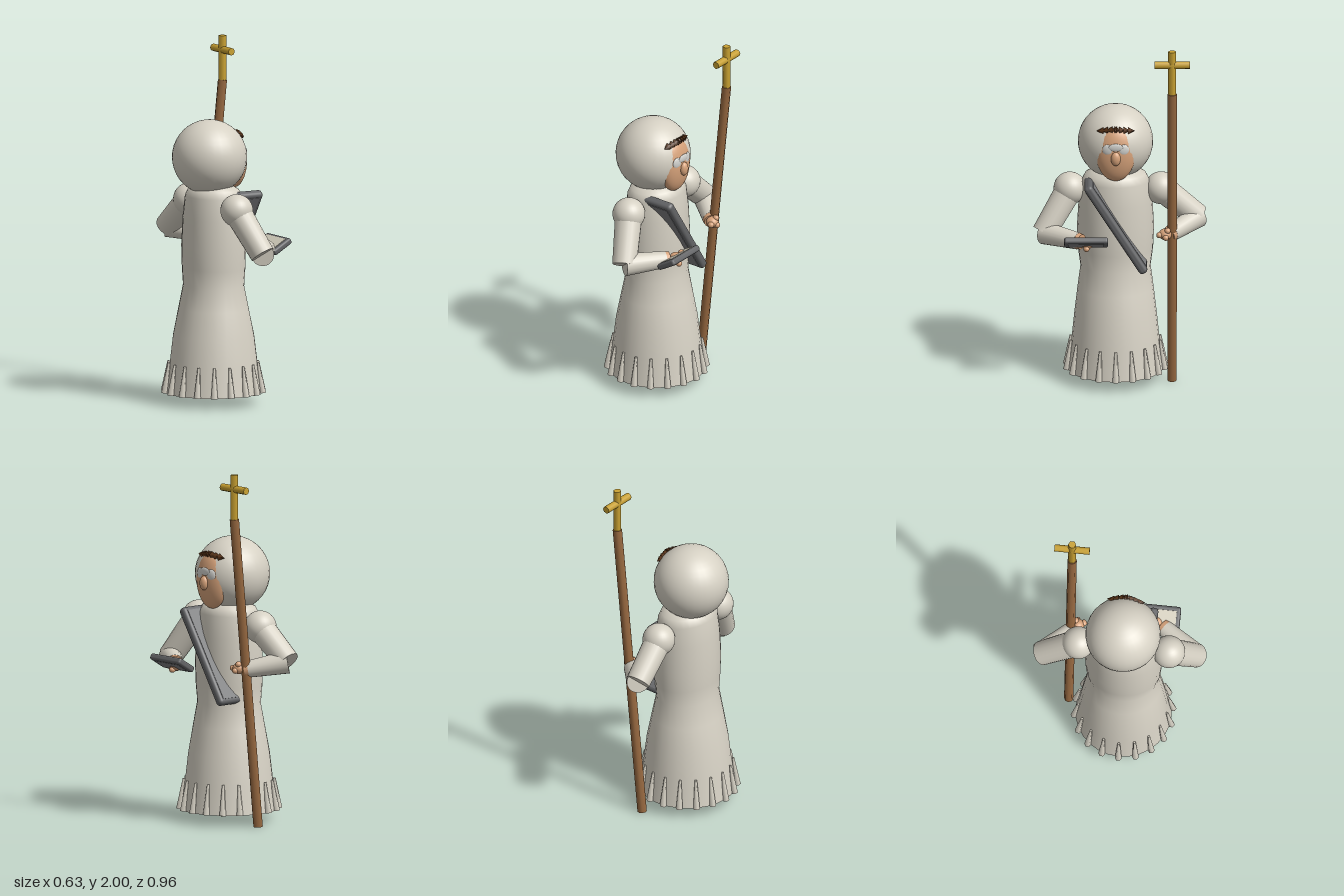
import * as THREE from 'three';
import { RoundedBoxGeometry } from 'three/addons/geometries/RoundedBoxGeometry.js';

const material = (name, color) => {
  const m = new THREE.MeshStandardMaterial({ color });
  m.name = name;
  return m;
};

export function createModel() {
  const cloth = material('cloth', 0xd6d1c4);
  const skin = material('skin', 0xd6a27a);
  const hair = material('dark brown', 0x5a3418);
  const wood = material('wood', 0x966840);
  const gold = material('gold', 0xcaa232);
  const frame = material('dark grey', 0x636466);
  const panel = material('mid grey', 0x7b7c7e);
  const page = material('page', 0xd2cdbb);
  const eyeWhite = material('eye white', 0xd4d4d0);

  const root = new THREE.Group();
  root.name = 'robedFigure';
  const V = (x, y, z) => new THREE.Vector3(x, y, z);
  const midZ = 0.037; // the body's own centre plane; the figure faces +x

  const add = (name, geometry, mat, parent = root) => {
    const mesh = new THREE.Mesh(geometry, mat);
    mesh.name = name;
    parent.add(mesh);
    return mesh;
  };
  const ball = (name, mat, [x, y, z], rx, ry = rx, rz = rx, parent = root) => {
    const mesh = add(name, new THREE.SphereGeometry(1, 32, 20), mat, parent);
    mesh.position.set(x, y, z);
    mesh.scale.set(rx, ry, rz);
    return mesh;
  };
  // tapered rod between two points
  const rod = (name, mat, a, b, ra, rb, sides = 20, parent = root) => {
    const dir = b.clone().sub(a);
    const mesh = add(name, new THREE.CylinderGeometry(rb, ra, dir.length(), sides), mat, parent);
    mesh.position.copy(a).add(b).multiplyScalar(0.5);
    mesh.quaternion.setFromUnitVectors(V(0, 1, 0), dir.normalize());
    return mesh;
  };

  // robe: round at the hem, wider across the shoulders
  const profile = [
    [0, 0.06], [0.268, 0.06], [0.268, 0.06], [0.245, 0.22], [0.225, 0.38], [0.19, 0.53],
    [0.16, 0.66], [0.163, 0.76], [0.165, 0.88], [0.158, 1.04], [0.146, 1.16],
    [0.13, 1.2], [0.09, 1.225], [0, 1.235],
  ].map(([r, y]) => new THREE.Vector2(r, y));
  const robeGeometry = new THREE.LatheGeometry(profile, 28);
  const p = robeGeometry.attributes.position;
  for (let i = 0; i < p.count; i++) {
    p.setZ(i, p.getZ(i) * (1 + 0.3 * THREE.MathUtils.smoothstep(p.getY(i), 0.3, 0.85)));
  }
  add('robe', robeGeometry, cloth).position.set(-0.027, 0, midZ);

  // hem tassels
  const tassels = new THREE.Group();
  tassels.name = 'hemTassels';
  root.add(tassels);
  for (let i = 0; i < 18; i++) {
    const a = (i / 18) * Math.PI * 2;
    const at = (r, y) => V(-0.028 + r * Math.cos(a), y, midZ + r * Math.sin(a));
    rod('tassel', cloth, at(0.276, 0.06), at(0.251, 0.23), 0.019, 0.007, 6, tassels);
  }

  // shoes
  for (const s of [-1, 1]) {
    add('shoe', new THREE.BoxGeometry(0.23, 0.06, 0.11), hair)
      .position.set(0.035, 0.08, midZ + s * 0.083);
  }

  // head
  const head = new THREE.Group();
  head.name = 'head';
  root.add(head);
  ball('hood', cloth, [-0.053, 1.38, midZ], 0.209, 0.209, 0.209, head);
  ball('face', skin, [0.1, 1.355, midZ], 0.061, 0.157, 0.109, head);
  ball('nose', skin, [0.162, 1.347, midZ], 0.022, 0.04, 0.027, head);
  ball('eyeBridge', eyeWhite, [0.157, 1.412, midZ], 0.007, 0.022, 0.04, head);
  for (const s of [-1, 1]) {
    ball('eye', eyeWhite, [0.148, 1.395, midZ + s * 0.045], 0.01, 0.032, 0.03, head)
      .rotation.y = -s * 0.22;
    // fringe of hair over the brow
    for (let i = 0; i < 4; i++) {
      const t = (i + 0.5) / 4;
      const tuft = add('hairTuft', new THREE.ConeGeometry(0.021, 0.04, 5), hair, head);
      tuft.position.set(0.119 - 0.018 * t * t, 1.503 - 0.012 * t * t, midZ + s * 0.1 * t);
      tuft.rotation.set(s * Math.PI / 2, 0, 0);
    }
  }

  // arms
  const arm = (name, shoulder, elbow, wrist, hand, fingers) => {
    const g = new THREE.Group();
    g.name = name;
    root.add(g);
    ball('shoulder', cloth, shoulder.toArray(), 0.091, 0.091, 0.091, g);
    rod('upperSleeve', cloth, shoulder, elbow, 0.076, 0.068, 20, g);
    rod('lowerSleeve', cloth, elbow, wrist, 0.064, 0.047, 20, g);
    const dir = wrist.clone().sub(elbow).normalize();
    rod('wrist', skin, wrist, wrist.clone().addScaledVector(dir, 0.022), 0.046, 0.042, 20, g);
    ball('hand', skin, hand, 0.036, 0.032, 0.036, g);
    fingers.forEach((f) => ball('finger', skin, f, 0.019, 0.017, 0.017, g));
  };
  arm('tabletArm', V(-0.03, 1.11, 0.29), V(0.05, 0.875, 0.435), V(0.19, 0.875, 0.245),
    [0.225, 0.875, 0.195], [[0.235, 0.895, 0.157], [0.25, 0.85, 0.2]]);
  arm('staffArm', V(-0.03, 1.11, -0.216), V(-0.05, 0.935, -0.42), V(0.115, 0.895, -0.272),
    [0.15, 0.9, -0.238], [[0.165, 0.9, -0.205], [0.165, 0.925, -0.25], [0.18, 0.89, -0.24]]);

  // staff with crossed finial
  const staffZ = -0.276;
  rod('staff', wood, V(0.041, 0.002, staffZ), V(0.22, 1.75, staffZ), 0.026, 0.026, 8);
  rod('finialPost', gold, V(0.22, 1.74, staffZ), V(0.22, 2, staffZ), 0.022, 0.022, 6);
  rod('finialBar', gold, V(0.22, 1.92, staffZ - 0.098), V(0.22, 1.92, staffZ + 0.098), 0.021, 0.021, 8);

  // slanted slab across the chest
  const slab = new THREE.Group();
  slab.name = 'chestSlab';
  slab.position.set(0.06, 0.935, 0.036);
  slab.rotation.x = 0.564;
  root.add(slab);
  add('slabFrame', new RoundedBoxGeometry(0.27, 0.6, 0.05, 3, 0.02), frame, slab);
  for (const s of [-1, 1]) {
    add('slabPanel', new THREE.BoxGeometry(0.22, 0.55, 0.006), panel, slab).position.z = s * 0.024;
  }

  // small tablet held in the hand
  const tablet = new THREE.Group();
  tablet.name = 'tablet';
  tablet.position.set(0.25, 0.888, 0.202);
  tablet.rotation.z = 0.54;
  root.add(tablet);
  add('tabletFrame', new RoundedBoxGeometry(0.13, 0.036, 0.245, 3, 0.013), frame, tablet);
  add('tabletPage', new THREE.BoxGeometry(0.09, 0.006, 0.2), page, tablet).position.y = 0.017;
  add('tabletBack', new THREE.BoxGeometry(0.09, 0.006, 0.2), panel, tablet).position.y = -0.017;

  return root;
}
